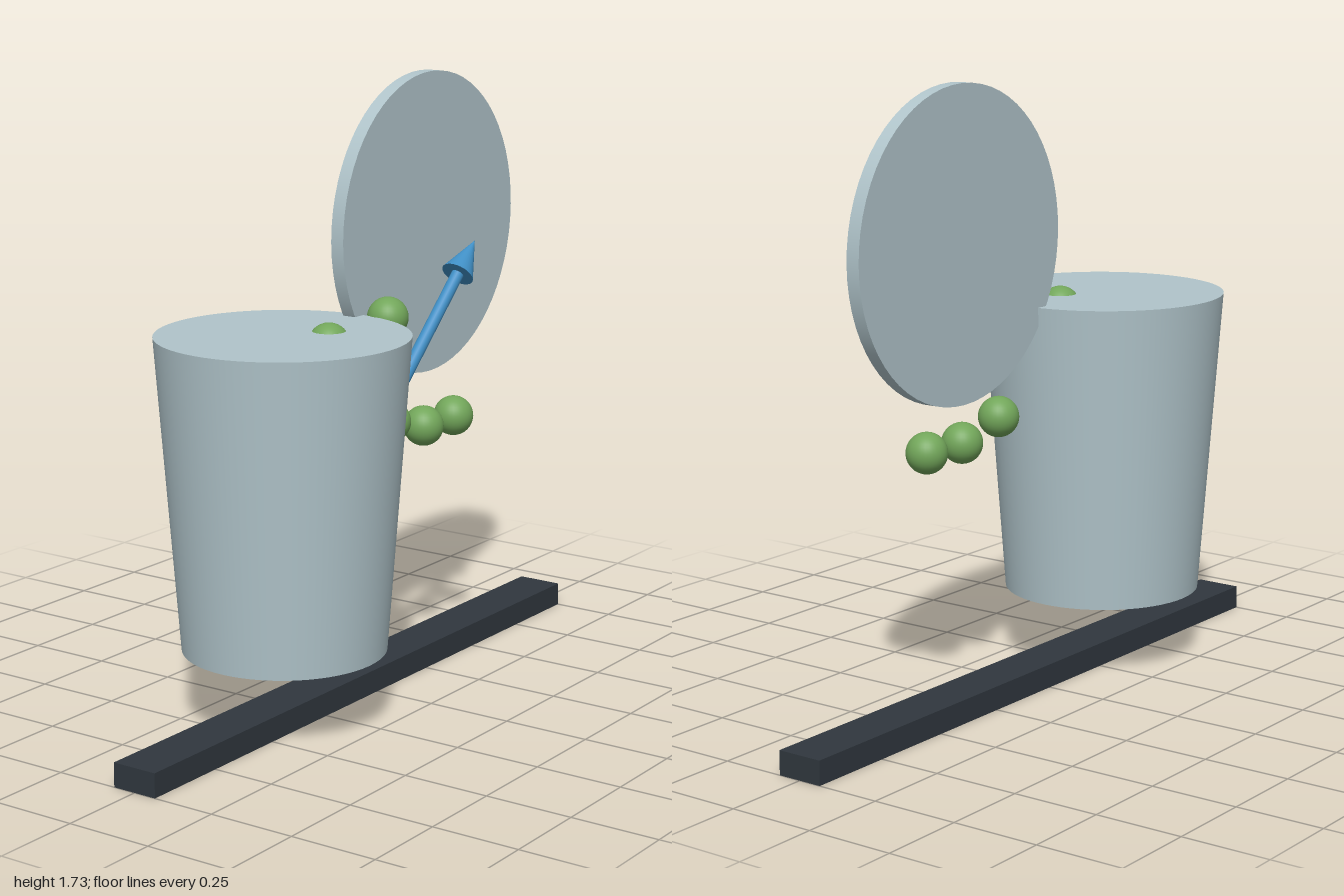
import * as THREE from 'three';

export function createModel() {
  const model = new THREE.Group();
  const mat = (name, color) => {
    const m = new THREE.MeshStandardMaterial({ color });
    m.name = name;
    return m;
  };
  const paleGrey = mat('pale grey', 0xb0c4ca);
  const charcoal = mat('charcoal', 0x30373e);
  const green = mat('green', 0x72a65a);
  const blue = mat('blue', 0x3f8ec4);

  const add = (name, geometry, material, x, y, z, parent = model) => {
    const mesh = new THREE.Mesh(geometry, material);
    mesh.name = name;
    mesh.position.set(x, y, z);
    parent.add(mesh);
    return mesh;
  };

  // Ground bar and tapered closed bucket
  add('groundBar', new THREE.BoxGeometry(2, 0.068, 0.135), charcoal, 0, 0.034, 0);
  add('bucket', new THREE.CylinderGeometry(0.347, 0.282, 0.873, 64), paleGrey, -0.352, 0.652, 0);

  // Upright disc
  const disc = add('disc', new THREE.CylinderGeometry(0.432, 0.432, 0.04, 64), paleGrey, 0.331, 1.302, 0);
  disc.rotation.x = Math.PI / 2;

  // Balls, the first one poking through the bucket top
  const ball = new THREE.SphereGeometry(0.058, 32, 20);
  [[-0.238, 1.053], [0.042, 1.08], [0.057, 0.78], [0.224, 0.735], [0.38, 0.735]]
    .forEach(([x, y], i) => add(`ball${i + 1}`, ball, green, x, y, 0.07));

  // Slanted arrow, built along +y and turned
  const arrow = new THREE.Group();
  arrow.name = 'arrow';
  const start = new THREE.Vector3(-0.049, 0.875, 0.152);
  const tip = new THREE.Vector3(0.358, 1.26, 0.152);
  const length = start.distanceTo(tip);
  const head = 0.122;
  const shaft = length - head;
  add('arrowShaft', new THREE.CylinderGeometry(0.018, 0.018, shaft, 24), blue, 0, shaft / 2, 0, arrow);
  add('arrowHead', new THREE.ConeGeometry(0.047, head, 32), blue, 0, shaft + head / 2, 0, arrow);
  arrow.position.copy(start);
  arrow.quaternion.setFromUnitVectors(new THREE.Vector3(0, 1, 0), tip.clone().sub(start).normalize());
  model.add(arrow);

  return model;
}
